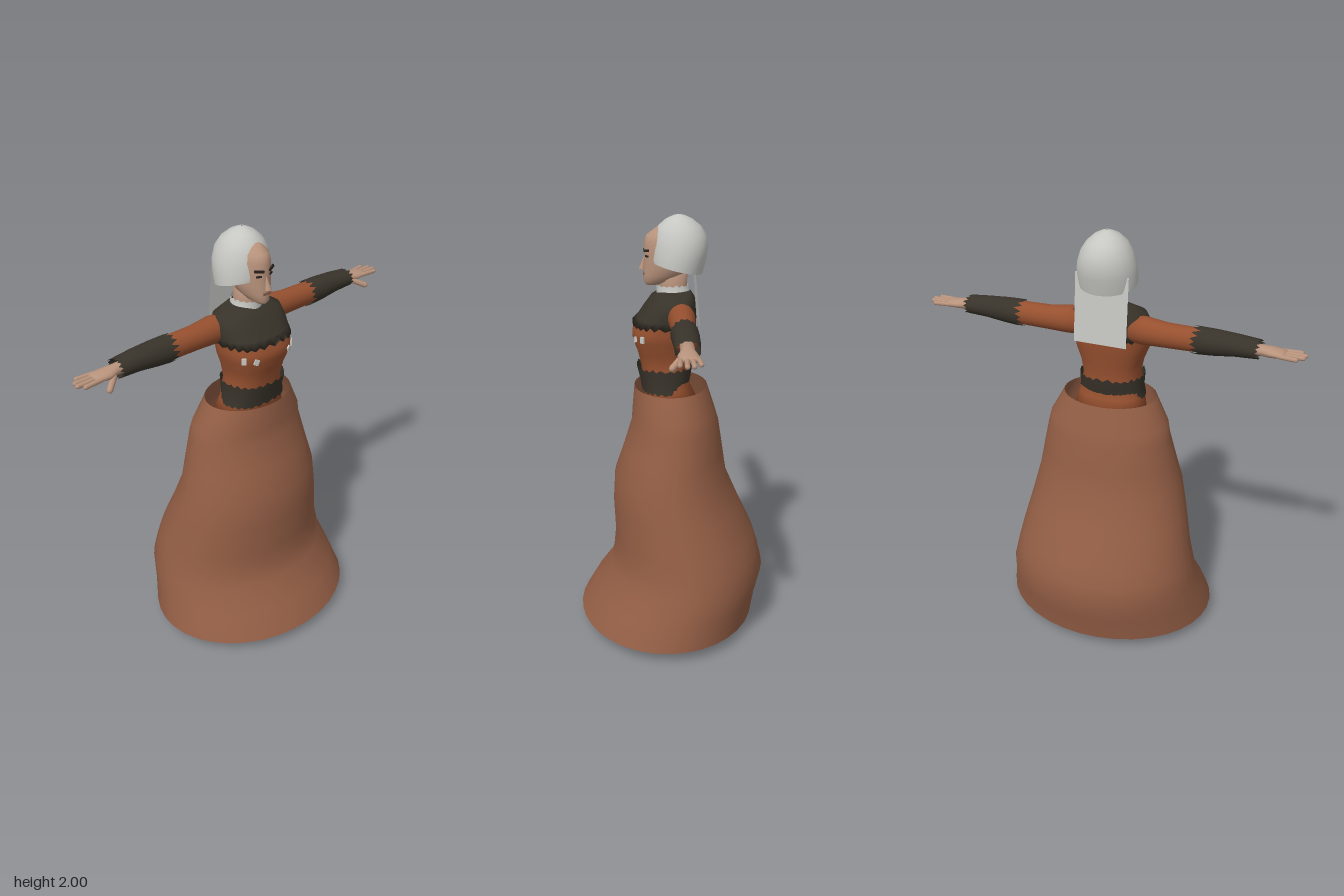
import * as THREE from 'three';

const mat = (name, color, side = THREE.DoubleSide) => {
  const m = new THREE.MeshStandardMaterial({ color, side });
  m.name = name;
  return m;
};

// Smooth body from oval rows [y, halfWidth, zFront, zBack, centreX]; bottom and top rims may be jagged or tilted
function loft(rows, { n = 24, power = 1, jag = [0, 0], tilt = 0, caps = true } = {}) {
  const pos = [], idx = [];
  const bend = v => Math.sign(v) * Math.abs(v) ** power;
  rows.forEach(([y, hw, zf, zb, cx = 0], r) => {
    const amp = r === 0 ? jag[0] : r === rows.length - 1 ? jag[1] : 0;
    for (let i = 0; i < n; i++) {
      const a = i / n * Math.PI * 2;
      const tooth = amp * (i % 2 ? 0.6 + 0.4 * Math.sin(i * 2.3) : -0.6);
      const lean = r === 0 ? tilt * Math.cos(a) : 0;
      pos.push(cx + hw * bend(Math.sin(a)), y + tooth + lean, (zf + zb) / 2 + (zf - zb) / 2 * bend(Math.cos(a)));
      if (r < rows.length - 1) {
        const p = r * n + i, q = r * n + (i + 1) % n;
        idx.push(p, q, q + n, p, q + n, p + n);
      }
    }
  });
  if (caps) [0, rows.length - 1].forEach(r => {
    const [y, , zf, zb, cx = 0] = rows[r], c = pos.length / 3;
    pos.push(cx, y, (zf + zb) / 2);
    for (let i = 0; i < n; i++) {
      const p = r * n + i, q = r * n + (i + 1) % n;
      idx.push(c, ...(r ? [p, q] : [q, p]));
    }
  });
  const g = new THREE.BufferGeometry();
  g.setAttribute('position', new THREE.Float32BufferAttribute(pos, 3));
  g.setIndex(idx);
  g.computeVertexNormals();
  return g;
}

export function createModel() {
  const group = new THREE.Group();
  const skirtRust = mat('skirt rust', 0x935e45);
  const rust = mat('bodice rust', 0x96502f);
  const dark = mat('dark leather', 0x38332a);
  const linen = mat('white linen', 0xc6c6c2);
  const skin = mat('skin', 0xb8937c);
  const grey = mat('stocking grey', 0x77736e);
  const brown = mat('brow brown', 0x2b211c);
  const lipRed = mat('lip', 0x8e5f50);

  const add = (name, geo, material, x = 0, y = 0, z = 0, parent = group) => {
    const m = new THREE.Mesh(geo, material);
    m.name = name;
    m.position.set(x, y, z);
    parent.add(m);
    return m;
  };
  // Capsule between two points
  const limb = (name, a, b, r, material) => {
    const A = new THREE.Vector3(...a), B = new THREE.Vector3(...b), d = B.clone().sub(A);
    const m = add(name, new THREE.CapsuleGeometry(r, Math.max(0.001, d.length() - 2 * r), 4, 8), material);
    m.position.copy(A).add(B).multiplyScalar(0.5);
    m.quaternion.setFromUnitVectors(new THREE.Vector3(0, 1, 0), d.normalize());
  };

  // Skirt: open bell with a trailing back
  add('skirt', loft([
    [0.06, 0.525, 0.455, -0.405], [0.18, 0.497, 0.385, -0.425], [0.29, 0.472, 0.302, -0.452],
    [0.38, 0.452, 0.285, -0.43], [0.46, 0.433, 0.277, -0.405], [0.62, 0.397, 0.284, -0.33],
    [0.77, 0.363, 0.275, -0.265], [0.9, 0.333, 0.23, -0.245], [1.03, 0.303, 0.19, -0.225],
    [1.09, 0.29, 0.186, -0.207], [1.21, 0.225, 0.175, -0.168],
  ], { n: 36, caps: false }), skirtRust);

  // Bodice, yoke and belt
  add('bodice', loft([
    [1.12, 0.175, 0.13, -0.13], [1.21, 0.155, 0.133, -0.085], [1.31, 0.133, 0.142, -0.082],
    [1.38, 0.145, 0.158, -0.09], [1.44, 0.168, 0.18, -0.1], [1.48, 0.174, 0.18, -0.105],
    [1.53, 0.172, 0.155, -0.108], [1.58, 0.172, 0.122, -0.105], [1.62, 0.155, 0.09, -0.1], [1.645, 0.09, 0.06, -0.085],
  ], { n: 32, power: 0.8 }), rust);
  add('yoke', loft([
    [1.51, 0.179, 0.18, -0.113], [1.54, 0.18, 0.157, -0.114], [1.58, 0.181, 0.13, -0.111],
    [1.625, 0.17, 0.097, -0.107], [1.645, 0.11, 0.072, -0.095], [1.66, 0.065, 0.055, -0.085],
  ], { n: 48, power: 0.8, jag: [0.012, 0] }), dark);
  add('belt', loft([
    [1.2, 0.16, 0.14, -0.075], [1.25, 0.15, 0.148, -0.088], [1.31, 0.152, 0.163, -0.097],
  ], { n: 48, power: 0.85, jag: [0.008, 0.01], caps: false }), dark);

  // Collar, neck and head
  add('neck', loft([[1.62, 0.06, 0.05, -0.08], [1.68, 0.052, 0.055, -0.07], [1.76, 0.05, 0.06, -0.075]]), skin);
  add('collar', loft([
    [1.63, 0.085, 0.07, -0.092], [1.655, 0.07, 0.068, -0.085], [1.685, 0.066, 0.07, -0.08],
  ], { n: 32, jag: [0, 0.006], caps: false }), linen);
  add('head', loft([
    [1.685, 0.02, 0.115, 0.06], [1.7, 0.04, 0.128, 0.0], [1.73, 0.06, 0.127, -0.06], [1.77, 0.074, 0.126, -0.1],
    [1.82, 0.08, 0.122, -0.12], [1.87, 0.08, 0.125, -0.13], [1.91, 0.07, 0.114, -0.12], [1.95, 0.045, 0.06, -0.09],
  ]), skin);
  const nose = add('nose', new THREE.ConeGeometry(0.016, 0.07, 8), skin, 0, 1.79, 0.126);
  nose.rotation.x = -0.2;
  add('mouth', new THREE.BoxGeometry(0.045, 0.011, 0.006), lipRed, 0, 1.737, 0.126);
  for (const s of [1, -1]) {
    const brow = add('eyebrow', new THREE.BoxGeometry(0.045, 0.011, 0.008), brown, s * 0.036, 1.843, 0.114);
    brow.rotation.set(0, s * 0.42, s * 0.15);
    const eye = add('eye', new THREE.BoxGeometry(0.024, 0.008, 0.006), brown, s * 0.035, 1.818, 0.111);
    eye.rotation.y = s * 0.42;
  }

  // Headdress: dome cap with a flat veil behind
  add('cap', loft([
    [1.765, 0.136, 0.092, -0.142], [1.81, 0.137, 0.094, -0.16], [1.86, 0.131, 0.09, -0.166],
    [1.91, 0.115, 0.08, -0.158], [1.95, 0.09, 0.06, -0.132], [1.98, 0.056, 0.025, -0.093],
    [1.995, 0.025, -0.008, -0.06], [2, 0.004, -0.03, -0.038],
  ], { n: 28, tilt: 0.028, caps: false }), linen);
  const veil = add('veil', new THREE.PlaneGeometry(0.25, 0.32), linen, 0, 1.66, -0.112);
  veil.rotation.x = 0.09;

  for (const s of [1, -1]) {
    // Arm parts are lofted along y, then laid sideways
    const arm = (name, rows, material, opts) => {
      const g = loft(rows.map(([d, h, zf, zb, y]) => [d, h, zf, zb, -s * y]), opts);
      add(name, g.rotateZ(-s * Math.PI / 2), material);
    };
    arm('sleeve', [
      [0.12, 0.06, 0.02, -0.095, 1.565], [0.18, 0.065, 0.022, -0.1, 1.565], [0.28, 0.057, 0.014, -0.095, 1.56],
      [0.42, 0.055, 0.012, -0.092, 1.56], [0.55, 0.045, 0.008, -0.088, 1.56],
    ], rust, {});
    arm('cuff', [
      [0.42, 0.062, 0.02, -0.1, 1.56], [0.5, 0.059, 0.018, -0.1, 1.562], [0.6, 0.049, 0.014, -0.097, 1.565],
      [0.7, 0.041, 0.012, -0.092, 1.562],
    ], dark, { n: 28, jag: [0.025, 0.014], caps: false });
    arm('hand', [
      [0.62, 0.026, -0.01, -0.07, 1.56], [0.71, 0.024, -0.01, -0.07, 1.56], [0.75, 0.022, 0.005, -0.08, 1.558],
      [0.8, 0.016, 0.002, -0.085, 1.558], [0.815, 0.01, -0.005, -0.078, 1.558],
    ], skin, { n: 16 });
    [[0.885, 0.0], [0.905, -0.028], [0.9, -0.055], [0.875, -0.083]].forEach(([tip, z]) =>
      limb('finger', [s * 0.78, 1.558, -0.04 + (z + 0.04) * 0.8], [s * tip, 1.557, z], 0.0105, skin));
    limb('thumb', [s * 0.72, 1.55, -0.02], [s * 0.79, 1.512, 0.032], 0.014, skin);

    // Linen showing through the bodice
    const fleck = add('bodiceFleck', new THREE.BoxGeometry(0.022, 0.026, 0.008), linen, s * 0.1, 1.452, 0.168);
    fleck.rotation.y = s * 0.35;
    fleck.rotation.z = s * 0.4;
    const sideFleck = add('bodiceSideFleck', new THREE.BoxGeometry(0.02, 0.03, 0.008), linen, s * 0.146, 1.46, 0.136);
    sideFleck.rotation.y = s * 0.8;

    // Stockinged leg and shoe
    const x = s * 0.133;
    add('leg', loft([
      [0.06, 0.035, -0.02, -0.095, x], [0.14, 0.034, -0.02, -0.09, x], [0.32, 0.05, 0.005, -0.105, x],
      [0.52, 0.05, 0.03, -0.07, s * 0.12], [0.8, 0.07, 0.06, -0.085, s * 0.1], [1.14, 0.085, 0.085, -0.1, s * 0.088],
    ], { n: 16 }), grey);
    add('shoe', loft([
      [0.005, 0.055, 0.15, -0.105, x], [0.02, 0.066, 0.166, -0.115, x], [0.042, 0.062, 0.15, -0.115, x],
      [0.065, 0.05, 0.08, -0.112, x], [0.09, 0.042, 0.015, -0.106, x], [0.12, 0.04, -0.01, -0.1, x],
    ], { n: 20, jag: [0, 0.006] }), dark);
  }
  return group;
}
